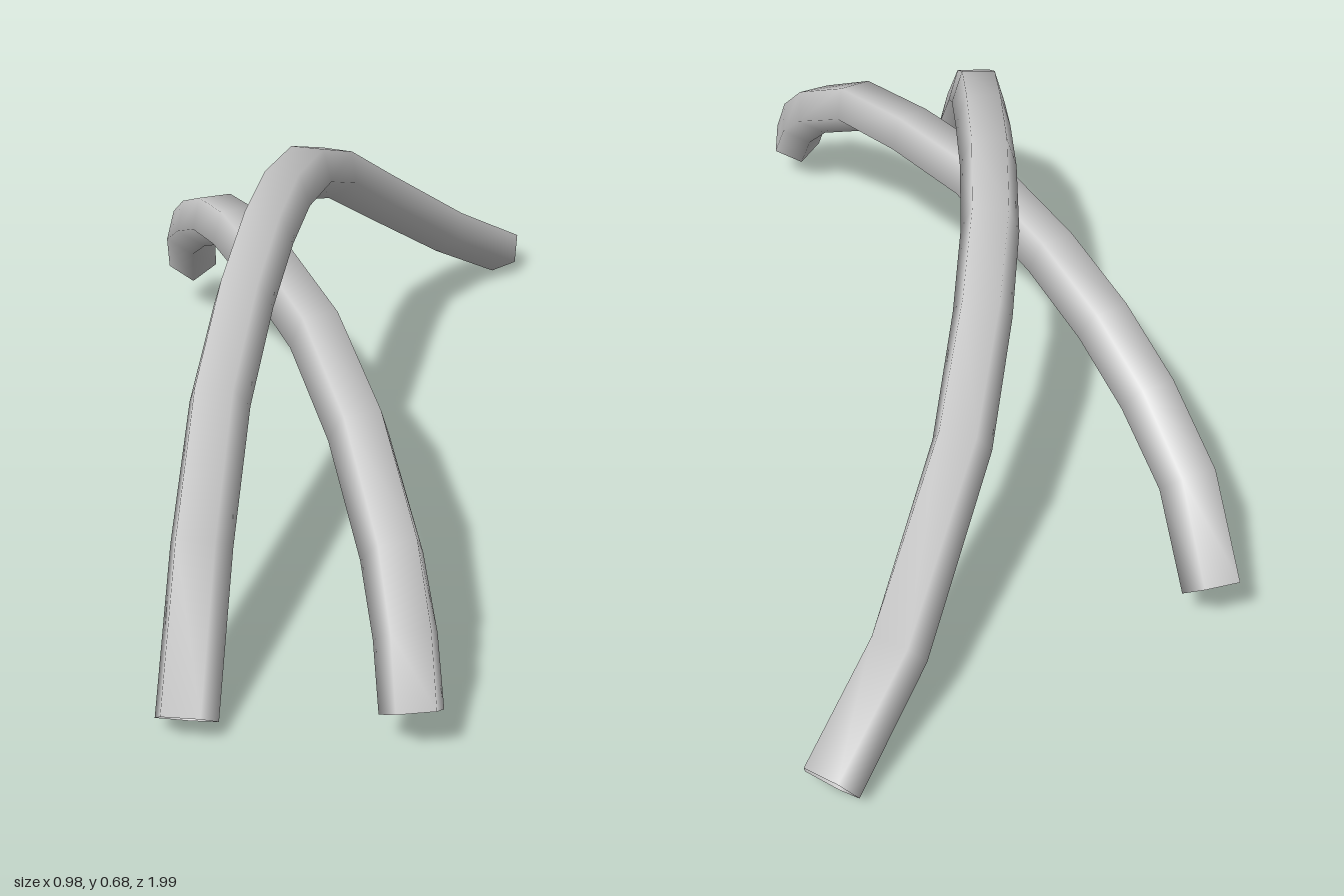
import * as THREE from 'three';

const SIDES = 5;
const RADIUS = 0.059;

// Open five-sided pipe through the given centre points, one ring per point
function pipe(name, path, material) {
  const pts = path.map((p) => new THREE.Vector3(...p));
  const up = new THREE.Vector3(0, 1, 0);
  const positions = [];
  const index = [];
  pts.forEach((p, i) => {
    const before = p.clone().sub(pts[Math.max(i - 1, 0)]).normalize();
    const after = pts[Math.min(i + 1, pts.length - 1)].clone().sub(p).normalize();
    const tangent = before.add(after).normalize();
    const side = new THREE.Vector3().crossVectors(tangent, up).normalize();
    const down = new THREE.Vector3().crossVectors(tangent, side).normalize();
    for (let j = 0; j < SIDES; j++) {
      // one corner points down, one flat faces up
      const a = (j / SIDES) * Math.PI * 2;
      const v = p.clone()
        .addScaledVector(down, Math.cos(a) * RADIUS)
        .addScaledVector(side, Math.sin(a) * RADIUS);
      positions.push(v.x, v.y, v.z);
      if (i < pts.length - 1) {
        const k = (j + 1) % SIDES;
        const r = i * SIDES;
        const n = r + SIDES;
        index.push(r + j, n + k, n + j, r + j, r + k, n + k);
      }
    }
  });
  const geometry = new THREE.BufferGeometry();
  geometry.setAttribute('position', new THREE.Float32BufferAttribute(positions, 3));
  geometry.setIndex(index);
  geometry.computeVertexNormals();
  // make sure the faces point away from the centre line
  const n0 = new THREE.Vector3().fromBufferAttribute(geometry.attributes.normal, 0);
  const out = new THREE.Vector3().fromBufferAttribute(geometry.attributes.position, 0).sub(pts[0]);
  if (n0.dot(out) < 0) {
    geometry.setIndex(index.reverse());
    geometry.computeVertexNormals();
  }
  const mesh = new THREE.Mesh(geometry, material);
  mesh.name = name;
  return mesh;
}

export function createModel() {
  const group = new THREE.Group();
  group.name = 'crossedArches';
  const material = new THREE.MeshStandardMaterial({ color: 0xcccccc, side: THREE.DoubleSide });

  // Long arch passing over the top
  group.add(pipe('upperArch', [
    [-0.44, 0.04, 0.85], [-0.395, 0.27, 0.66], [-0.345, 0.45, 0.47],
    [-0.285, 0.56, 0.29], [-0.23, 0.612, 0.12], [-0.18, 0.622, -0.04],
    [-0.115, 0.597, -0.22], [-0.04, 0.525, -0.38], [0.07, 0.39, -0.57],
    [0.28, 0.175, -0.82], [0.45, 0.045, -0.96],
  ], material));

  // Shorter arch passing underneath
  group.add(pipe('lowerArch', [
    [-0.06, 0.09, 0.945], [-0.06, 0.195, 0.87], [-0.068, 0.29, 0.76],
    [-0.1, 0.415, 0.55], [-0.145, 0.48, 0.3], [-0.205, 0.5, 0.07],
    [-0.26, 0.475, -0.2], [-0.295, 0.43, -0.38], [-0.325, 0.36, -0.53],
    [-0.345, 0.27, -0.68], [-0.338, 0.13, -0.825],
  ], material));

  return group;
}
